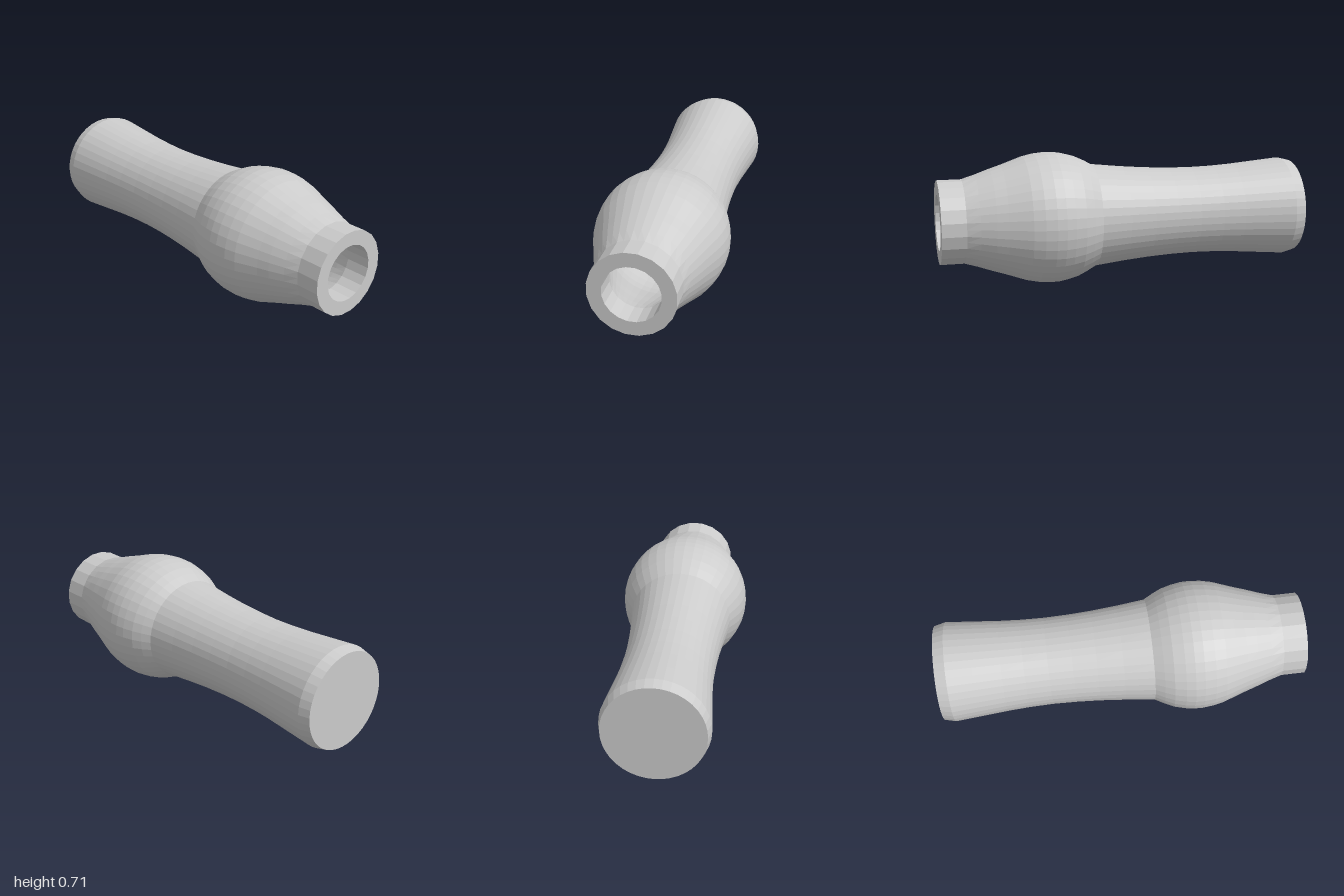
import * as THREE from 'three';

const SIDES = 40;
const AXIS_Y = 0.355;
const NECK_START = 0.86; // beyond this z the neck has half as many sides

// Revolves a [radius, z] profile around the z axis
function revolve(name, profile) {
  const points = profile.map(([r, z]) => new THREE.Vector2(r, z));
  const geometry = new THREE.LatheGeometry(points, SIDES, Math.PI * 2 / SIDES);
  const pos = geometry.attributes.position;
  const squash = Math.cos(Math.PI * 2 / SIDES);
  // Pull every second column onto the chord so the neck is 20-sided
  for (let i = 0; i < pos.count; i++) {
    const column = Math.floor(i / points.length);
    if (pos.getY(i) > NECK_START && column % 2 === 1) {
      pos.setX(i, pos.getX(i) * squash);
      pos.setZ(i, pos.getZ(i) * squash);
    }
  }
  geometry.rotateX(Math.PI / 2);
  geometry.translate(0, AXIS_Y, 0);
  const mesh = new THREE.Mesh(geometry, new THREE.MeshStandardMaterial({ color: 0xcccccc, flatShading: true }));
  mesh.name = name;
  return mesh;
}

export function createModel() {
  const group = new THREE.Group();
  group.name = 'handle';

  // Waisted grip with a closed, chamfered rear end
  group.add(revolve('grip', [
    [0, -1], [0.26, -1], [0.275, -0.94], [0.263, -0.8], [0.25, -0.65], [0.243, -0.53],
    [0.24, -0.4], [0.243, -0.27], [0.25, -0.14], [0.262, 0], [0.28, 0.16],
  ]));

  // Bulb running into the neck
  const bulb = [
    [0.28, 0.16], [0.307, 0.21], [0.33, 0.26], [0.346, 0.32], [0.354, 0.37], [0.355, 0.42],
    [0.349, 0.48], [0.336, 0.54], [0.315, 0.6], [0.294, 0.66], [0.275, 0.72], [0.247, 0.8],
    [0.226, 0.87], [0.226, 1],
  ];
  group.add(revolve('bulbAndNeck', bulb));

  // Front rim, bore, and hollow that follows the bulb with an even wall
  const wall = 0.076;
  const hollow = bulb.map(([r, z]) => [r - wall, z]).reverse();
  group.add(revolve('rimAndBore', [[0.226, 1], ...hollow, [0, 0.16]]));

  return group;
}
